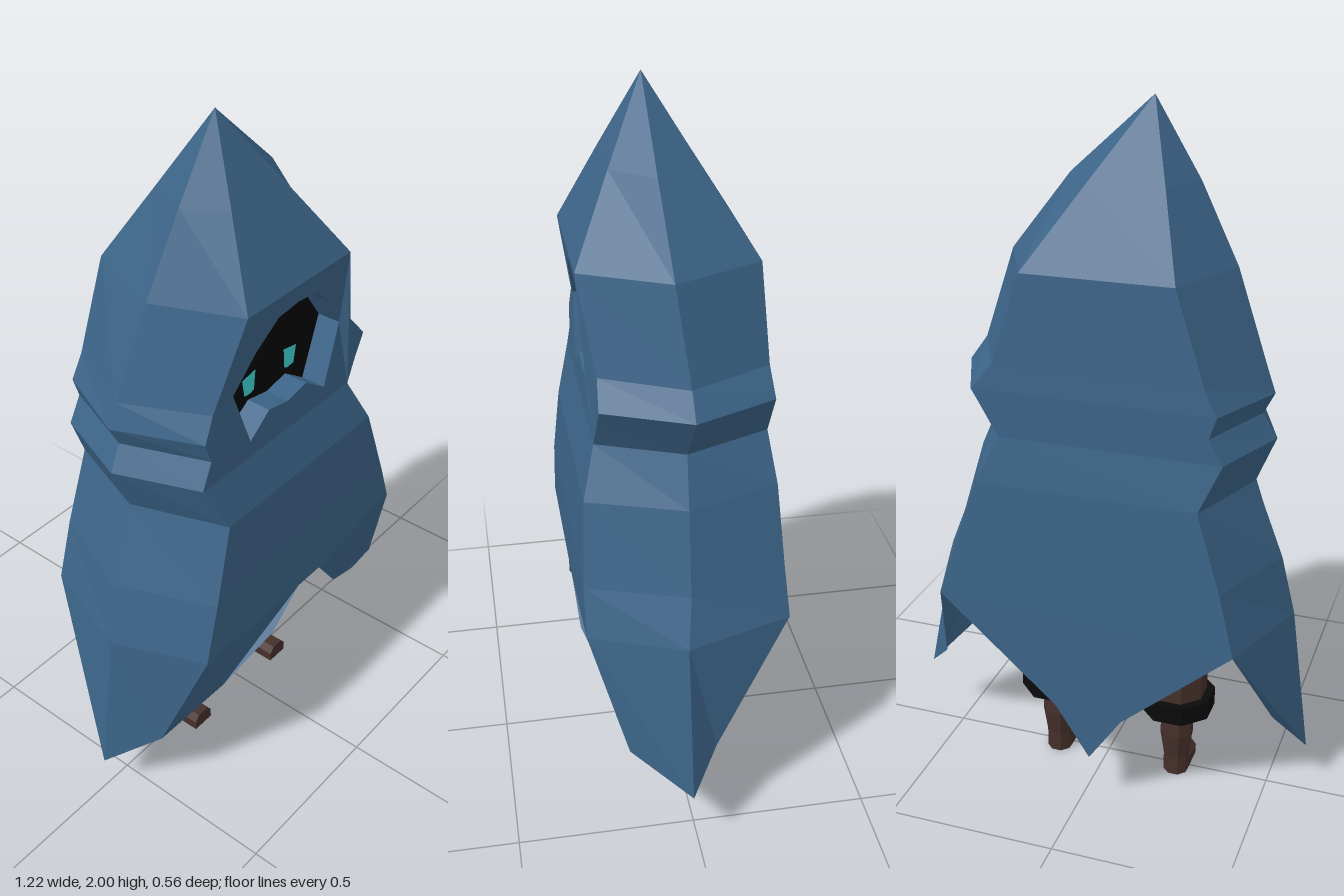
import * as THREE from 'three';

const mat = (color) => new THREE.MeshStandardMaterial({ color, flatShading: true, side: THREE.DoubleSide });

// Triangle soup helpers; every point is [x, y, z]
const quad = (out, a, b, c, d) => out.push(a, b, c, a, c, d);

function panel(out, contour, hole = [], flip = false) {
  const v2 = (list) => list.map((p) => new THREE.Vector2(p[0], p[1]));
  const all = [...contour, ...hole];
  const faces = THREE.ShapeUtils.triangulateShape(v2(contour), hole.length ? [v2(hole)] : []);
  for (const [a, b, c] of faces) out.push(all[a], all[flip ? c : b], all[flip ? b : c]);
}

function soupMesh(name, points, material) {
  const g = new THREE.BufferGeometry();
  g.setAttribute('position', new THREE.Float32BufferAttribute(points.flat(), 3));
  g.computeVertexNormals();
  const m = new THREE.Mesh(g, material);
  m.name = name;
  return m;
}

// Cloak sections: [yRight, tip, corner,  yLeft, tip, corner,  zFront, zBack, zTip]
const ROWS = [
  [2.0, -0.11, -0.11, 2.0, -0.11, -0.11, 0.04, 0.04, 0.04],
  [1.79, -0.24, -0.18, 1.79, 0.12, 0.03, 0.148, -0.09, 0.035],
  [1.575, -0.35, -0.25, 1.575, 0.285, 0.17, 0.255, -0.225, 0.02],
  [1.32, -0.445, -0.335, 1.32, 0.36, 0.25, 0.215, -0.235, -0.01],
  [1.25, -0.47, -0.37, 1.25, 0.41, 0.31, 0.22, -0.24, -0.012],
  [1.19, -0.44, -0.35, 1.19, 0.373, 0.275, 0.222, -0.24, -0.01],
  [1.12, -0.48, -0.39, 1.12, 0.33, 0.235, 0.227, -0.24, -0.005],
  [0.985, -0.425, -0.33, 0.985, 0.39, 0.3, 0.265, -0.258, 0],
  [0.76, -0.51, -0.4, 0.76, 0.46, 0.37, 0.28, -0.27, 0.005],
  [0.58, -0.55, -0.445, 0.63, 0.515, 0.415, 0.28, -0.278, 0.02],
];
const FACE_TOP = 2, FACE_BOTTOM = 6, FACE_X = -0.035, FACE_Z = 0.15;

// Six corners: right tip, front pair, left tip, back pair
const ring = ([yr, tr, cr, yl, tl, cl, zf, zb, zt]) => [
  [tr, yr, zt], [cr, yr, zf], [cl, yl, zf], [tl, yl, zt], [cl, yl, zb], [cr, yr, zb],
];

// Depth of the front surface at a height
function frontZ(y) {
  const i = ROWS.findIndex((r) => r[0] <= y);
  const a = ROWS[i - 1], b = ROWS[i];
  return THREE.MathUtils.lerp(a[6], b[6], (a[0] - y) / (a[0] - b[0]));
}

function faceOutline() {
  const half = [[0.08, 1.51], [0.155, 1.44], [0.225, 1.34], [0.16, 1.165], [0.08, 1.22]];
  return [[0, 1.52], ...half, [0, 1.205], ...half.map(([x, y]) => [-x, y]).reverse()]
    .map(([x, y]) => [x + FACE_X, y]);
}

function buildCloak() {
  const out = [];
  const rings = ROWS.map(ring);

  // Walls between sections, leaving out the front where the face opening is
  for (let r = 0; r < rings.length - 1; r++) {
    for (let i = 0; i < 6; i++) {
      if (i === 1 && r >= FACE_TOP && r < FACE_BOTTOM) continue;
      const j = (i + 1) % 6, a = rings[r], b = rings[r + 1];
      if (r === 0) out.push(a[i], b[i], b[j]);
      else quad(out, a[i], b[i], b[j], a[j]);
    }
  }

  // Front panel with face opening and its inner rim
  const span = rings.slice(FACE_TOP, FACE_BOTTOM + 1);
  const hole = faceOutline().map(([x, y]) => [x, y, frontZ(y)]);
  panel(out, [...span.map((p) => p[1]), ...span.map((p) => p[2]).reverse()], hole);
  hole.forEach((p, i) => {
    const q = hole[(i + 1) % hole.length];
    quad(out, p, q, [q[0], q[1], FACE_Z], [p[0], p[1], FACE_Z]);
  });

  // Ragged hem
  const [tipR, frontR, frontL, tipL, backL, backR] = rings[rings.length - 1];
  const hemTipR = [-0.61, 0.14, 0.02], hemTipL = [0.605, 0.19, 0.02];
  const hemFront = [
    [-0.51, 0.25, 0.16], [-0.28, 0.31, 0.2], [-0.14, 0.46, 0.27], [-0.035, 0.575, 0.28],
    [0.065, 0.575, 0.28], [0.15, 0.465, 0.27], [0.24, 0.365, 0.22], [0.37, 0.31, 0.2], [0.5, 0.29, 0.18],
  ];
  panel(out, [frontR, ...hemFront, frontL]);
  quad(out, tipR, hemTipR, hemFront[0], frontR);
  quad(out, frontL, hemFront[hemFront.length - 1], hemTipL, tipL);
  quad(out, backR, [-0.52, 0.27, -0.06], hemTipR, tipR);
  quad(out, tipL, hemTipL, [0.515, 0.29, -0.06], backL);
  panel(out, [backR, [-0.13, 0.31, -0.283], [-0.035, 0.17, -0.283], [0.065, 0.325, -0.283], backL], [], true);

  return soupMesh('cloak', out, mat(0x3c6488));
}

// Dark face set back in the hood, with two glowing eyes
function buildFace() {
  const face = new THREE.Group();
  face.name = 'face';
  const dark = [];
  panel(dark, faceOutline().map(([x, y]) => [x, y, FACE_Z]).reverse());
  face.add(soupMesh('faceShadow', dark, mat(0x060606)));
  for (const s of [-1, 1]) {
    const eye = [[0.115, 1.3], [0.06, 1.31], [0.065, 1.25], [0.078, 1.244], [0.105, 1.246]]
      .map(([x, y]) => [FACE_X + s * x, y, FACE_Z + 0.008]);
    const tris = [];
    panel(tris, s > 0 ? eye : eye.reverse());
    face.add(soupMesh(s > 0 ? 'leftEye' : 'rightEye', tris, mat(0x40d8d8)));
  }
  return face;
}

function buildLeg(name, x) {
  const leg = new THREE.Group();
  leg.name = name;
  const brown = mat(0x46302b), black = mat(0x0a0a0a);
  const add = (part, geometry, material, y, z = 0) => {
    const m = new THREE.Mesh(geometry, material);
    m.name = part;
    m.position.set(0, y, z);
    leg.add(m);
  };
  const turn = Math.PI / 8;
  add('thigh', new THREE.CylinderGeometry(0.088, 0.088, 0.32, 8).rotateY(turn), brown, 0.42);
  add('cuff', new THREE.CylinderGeometry(0.112, 0.112, 0.058, 8).rotateY(turn), black, 0.256);
  const profile = [[0, 0], [0.038, 0], [0.038, 0.06], [0.05, 0.14], [0.044, 0.23], [0, 0.23]]
    .map((p) => new THREE.Vector2(...p));
  add('shin', new THREE.LatheGeometry(profile, 8).rotateY(turn), brown, 0);

  // Short toe with bevelled upper edges
  const toe = new THREE.Shape();
  [[-0.036, 0], [0.036, 0], [0.036, 0.03], [0.02, 0.05], [-0.02, 0.05], [-0.036, 0.03]]
    .forEach(([a, b], i) => (i ? toe.lineTo(a, b) : toe.moveTo(a, b)));
  const toeGeo = new THREE.ExtrudeGeometry(toe, { depth: 0.095, bevelEnabled: false });
  add('foot', toeGeo, brown, 0);

  leg.position.set(x, 0, -0.025);
  return leg;
}

export function createModel() {
  const model = new THREE.Group();
  model.name = 'hoodedFigure';
  model.add(buildCloak(), buildFace(), buildLeg('rightLeg', -0.224), buildLeg('leftLeg', 0.154));
  return model;
}
